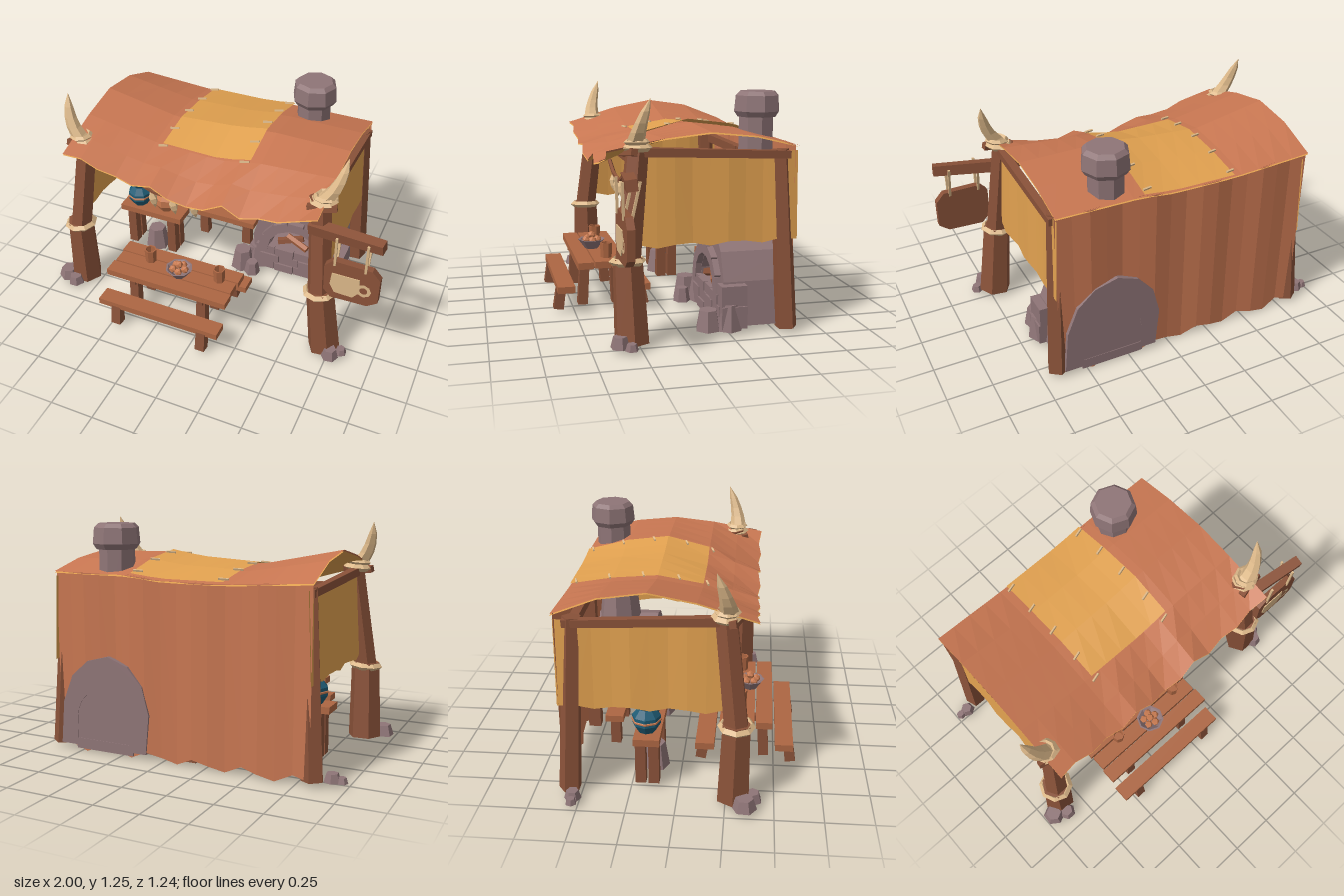
import * as THREE from 'three';

const mat = (name, color, side = THREE.FrontSide) => Object.assign(new THREE.MeshStandardMaterial({ color, side }), { name });
const V = (p) => new THREE.Vector3(...p);
const V2 = (pts) => pts.map((p) => new THREE.Vector2(...p));

export function createModel() {
  const root = new THREE.Group();
  root.name = 'marketTavern';
  const cloth = mat('terracotta cloth', 0xc77651, THREE.DoubleSide);
  const yellow = mat('ochre cloth', 0xe0a04f, THREE.DoubleSide);
  const wood = mat('dark wood', 0x8a5239);
  const plank = mat('plank wood', 0xad6642);
  const stone = mat('stone', 0x8f7577);
  const cream = mat('bone and rope', 0xdcb889);
  const blue = mat('blue glaze', 0x1f5c75);
  const clay = mat('clay', 0xc87a50);

  // Faceted mesh at a position
  function add(name, geo, material, p = [0, 0, 0], parent = root) {
    const g = geo.index ? geo.toNonIndexed() : geo;
    g.computeVertexNormals();
    const m = new THREE.Mesh(g, material);
    m.name = name;
    m.position.set(...p);
    parent.add(m);
    return m;
  }
  const box = (name, s, p, m) => add(name, new THREE.BoxGeometry(...s), m, p);

  // Tapered bar between two points
  function strut(name, a, b, r0, r1, m, sides = 4) {
    const A = V(a), B = V(b), d = B.clone().sub(A);
    const g = new THREE.CylinderGeometry(r1, r0, d.length(), sides);
    g.rotateY(Math.PI / sides);
    const mesh = add(name, g, m, A.clone().add(B).multiplyScalar(0.5).toArray());
    mesh.quaternion.setFromUnitVectors(new THREE.Vector3(0, 1, 0), d.normalize());
    return mesh;
  }

  // Cloth sheet from column and row values and a position rule
  function sheet(name, us, vs, f, m) {
    const g = new THREE.PlaneGeometry(1, 1, us.length - 1, vs.length - 1);
    const pos = g.attributes.position;
    vs.forEach((v, j) => us.forEach((u, i) => pos.setXYZ(j * us.length + i, ...f(u, v, i, j))));
    return add(name, g, m);
  }
  const range = (a, b, n) => Array.from({ length: n + 1 }, (_, i) => a + (b - a) * i / n);
  const interp = (xs, ys, x) => {
    let i = 0;
    while (i < xs.length - 2 && x > xs[i + 1]) i++;
    return ys[i] + (ys[i + 1] - ys[i]) * (x - xs[i]) / (xs[i + 1] - xs[i]);
  };

  // Roof surface: sagging across, arched front to back, ragged flap in front
  const cols = range(-0.83, 0.65, 14);
  const zRows = [-0.61, -0.38, -0.14, 0.1, 0.4];
  const kx = [-0.83, -0.36, 0, 0.17, 0.65];
  const heights = [
    [1.01, 0.98, 0.98, 1.0, 1.0], [1.1, 1.02, 1.03, 1.06, 1.055],
    [1.135, 1.04, 1.06, 1.09, 1.08], [1.09, 1.0, 0.99, 1.03, 1.055]];
  const hem = [1.0, 0.99, 0.96, 0.93, 0.91, 0.92, 0.88, 0.85, 0.87, 0.92, 0.88, 0.9, 0.92, 0.95, 1.0];
  const roofY = (x, z) => interp(zRows, [...heights.map((h) => interp(kx, h, x)), interp(cols, hem, x)], z);
  const roofPoint = (lift) => (x, z, i, j) => [x, roofY(x, z) + lift, z - (j === 5 ? 0.015 * (i % 2) : 0)];
  const roofZ = [-0.61, -0.38, -0.14, 0.1, 0.25, 0.4];
  sheet('roofCloth', cols, roofZ, roofPoint(0), cloth);
  sheet('roofLining', cols, roofZ, roofPoint(-0.008), yellow);
  sheet('roofPatch', range(-0.36, 0.17, 5), roofZ.slice(0, 4), roofPoint(0.013), yellow);
  for (const x of [-0.35, 0.14]) for (const z of [-0.58, -0.4, -0.22, -0.03, 0.12]) {
    const y = roofY(x, z) + 0.018;
    strut('patchStitch', [x - 0.025, y, z + 0.008], [x + 0.025, y + 0.003, z - 0.006], 0.007, 0.007, cream);
  }

  // Back and side curtains with ripples and ragged hems
  sheet('backCurtain', range(-0.825, 0.65, 16), [1, 0], (x, v, i) =>
    [x, v ? roofY(x, -0.6) : 0.03 + 0.025 * Math.sin(i * 2.1), -0.597 + 0.01 * Math.sin(i * 1.7)], cloth);
  for (const [x, s] of [[0.64, 1], [-0.805, -1]]) {
    sheet('sideCurtain', range(-0.605, 0.24, 9), [1, 0], (z, v, i) =>
      [x + s * ((1 - v) * 0.02 + 0.006 * Math.sin(i * 1.9)), v ? 0.975 : 0.51 + 0.012 * Math.sin(i * 2.2), z], yellow);
  }

  // Posts, beams, horns and rope bindings
  const ring = (name, p, r, t) => {
    const m = add(name, new THREE.TorusGeometry(r, t, 4, 8), cream, p);
    m.rotation.set(Math.PI / 2, 0.08, 0);
  };
  for (const [base, mid, top, s] of [[-0.85, -0.84, -0.77, -1], [0.715, 0.665, 0.61, 1]]) {
    strut('frontPostLower', [base, 0.03, 0.29], [mid, 0.46, 0.3], 0.093, 0.08, wood, 6);
    strut('frontPostUpper', [mid, 0.42, 0.3], [top, 1.02, 0.235], 0.068, 0.06, wood, 6);
    ring('postRope', [mid, 0.445, 0.3], 0.077, 0.02);
    ring('hornRope', [top + s * 0.02, 1.01, 0.24], 0.058, 0.02);
    ring('hornRopeUpper', [top + s * 0.03, 1.04, 0.245], 0.051, 0.015);
    // Curved horn tapering to a tip
    const curve = new THREE.QuadraticBezierCurve3(
      V([top + s * 0.015, 1.02, 0.25]), V([top + s * 0.1, 1.09, 0.26]), V([top + s * 0.12, 1.262, 0.195]));
    const g = new THREE.CylinderGeometry(1, 1, 1, 6, 5);
    const pos = g.attributes.position;
    for (let i = 0; i < pos.count; i++) {
      const t = pos.getY(i) + 0.5, c = curve.getPoint(t), r = 0.05 * Math.pow(1 - t, 0.5) + 0.001;
      pos.setXYZ(i, c.x + pos.getX(i) * r, c.y, c.z + pos.getZ(i) * r);
    }
    add('horn', g, cream);
    // Back posts lean inwards and straddle the curtains
    strut('backPost', [s > 0 ? 0.655 : -0.83, 0.03, -0.56], [s > 0 ? 0.615 : -0.775, 0.98, -0.515], 0.06, 0.05, wood, 5);
    strut('sideBeam', [s > 0 ? 0.635 : -0.795, 0.99, 0.24], [s > 0 ? 0.645 : -0.8, 0.955, -0.56], 0.032, 0.028, wood);
    strut('beamStub', [top - s * 0.05, 0.98, 0.3], [top + s * 0.1, 1.0, 0.27], 0.028, 0.025, wood);
  }
  strut('backBeam', [-0.78, 0.88, -0.55], [0.62, 0.87, -0.55], 0.035, 0.035, wood);
  strut('frontBeam', [-0.76, 0.9, 0.2], [0.6, 0.9, 0.2], 0.03, 0.03, wood);
  strut('centreBackPost', [-0.16, 0.03, -0.55], [-0.16, 0.9, -0.55], 0.05, 0.045, wood);

  // Fireplace body with arched mouth
  const body = new THREE.Shape(V2([[0.09, 0.04], [0.07, 0.26], [0.11, 0.41], [0.2, 0.51], [0.32, 0.555],
    [0.45, 0.52], [0.55, 0.43], [0.61, 0.28], [0.63, 0.04]].reverse()));
  const mouth = new THREE.Path();
  mouth.moveTo(0.18, 0.08);
  mouth.lineTo(0.18, 0.2);
  mouth.absarc(0.35, 0.2, 0.17, Math.PI, 0, true);
  mouth.lineTo(0.52, 0.08);
  body.holes.push(mouth);
  add('fireplaceBody', new THREE.ExtrudeGeometry(body, { depth: 0.39, bevelEnabled: false, curveSegments: 5 }), stone, [0, 0, -0.614]);
  box('fireboxBack', [0.36, 0.36, 0.14], [0.35, 0.2, -0.541], stone);
  box('hearth', [0.4, 0.18, 0.3], [0.35, 0.12, -0.36], stone);
  for (let i = 0; i < 7; i++) {
    const a = Math.PI * (i + 0.5) / 7;
    box('archStone', [0.06, 0.095, 0.05], [0.35 + 0.2 * Math.cos(a), 0.2 + 0.2 * Math.sin(a), -0.215], stone).rotation.z = a;
  }
  for (let r = 0; r < 3; r++) for (let i = 0; i < 4; i++) {
    box('hearthBrick', [0.12, 0.055, 0.03], [0.16 + 0.125 * i + (r % 2) * 0.03, 0.065 + 0.06 * r, -0.21 + 0.006 * ((i + r) % 2)], stone);
  }
  for (const [x, y, w] of [[0.1, 0.1, 0.11], [0.61, 0.1, 0.12], [0.62, 0.21, 0.08]])
    box('sideStone', [w, 0.12, 0.14], [x, y, -0.27], stone);
  const hood = add('chimneyHood', new THREE.CylinderGeometry(0.115, 0.195, 0.46, 8), stone, [0.32, 0.7, -0.46]);
  hood.scale.z = 0.7;
  add('chimneyFlue', new THREE.CylinderGeometry(0.098, 0.1, 0.36, 8), stone, [0.325, 0.98, -0.485]);
  add('chimneyCap', new THREE.LatheGeometry(V2([[0, 1.125], [0.11, 1.125], [0.13, 1.155], [0.122, 1.24], [0.1, 1.262], [0, 1.262]]), 8),
    stone, [0.325, 0, -0.488]);
  strut('log', [0.23, 0.235, -0.24], [0.38, 0.27, -0.28], 0.024, 0.022, wood, 5);
  strut('log', [0.28, 0.27, -0.27], [0.42, 0.235, -0.23], 0.022, 0.022, plank, 5);

  // Scattered rocks: x, z, radius, height
  for (const [x, z, r, h] of [[-0.94, 0.35, 0.065, 0.06], [-0.87, 0.39, 0.05, 0.05], [0.77, 0.36, 0.05, 0.06], [0.82, 0.31, 0.035, 0.035],
    [-0.92, -0.53, 0.045, 0.045], [-0.97, -0.53, 0.03, 0.03], [-0.57, -0.14, 0.075, 0.14], [0.02, -0.17, 0.075, 0.13],
    [0.1, -0.25, 0.08, 0.14], [0.61, -0.14, 0.07, 0.11], [0.63, -0.25, 0.07, 0.14], [0.1, -0.13, 0.05, 0.08]]) {
    add('rock', new THREE.CylinderGeometry(r * 0.7, r, h, 6), stone, [x, 0.03 + h / 2, z]).rotation.y = x * 9;
  }

  // Tables and benches: plank rows on legs given as pairs of top and bottom z
  function bench(name, x0, x1, z0, z1, y, planks, legX, legZ) {
    const d = (z1 - z0) / planks;
    for (let i = 0; i < planks; i++)
      box(name + 'Plank', [x1 - x0 - 0.015 * (i % 2), 0.038, d - 0.008], [(x0 + x1) / 2, y - 0.019, z0 + d * (i + 0.5)], plank);
    for (const x of legX) {
      for (const [zTop, zBottom] of legZ) strut(name + 'Leg', [x, 0.03, zBottom], [x, y - 0.03, zTop], 0.04, 0.038, wood);
      if (planks > 1) box(name + 'Brace', [0.035, 0.035, z1 - z0 - 0.03], [x, y - 0.055, (z0 + z1) / 2], wood);
    }
  }
  bench('table', -0.57, 0.18, 0.2, 0.49, 0.312, 3, [-0.41, 0.02], [[0.43, 0.445], [0.26, 0.245]]);
  bench('frontBench', -0.57, 0.18, 0.5, 0.605, 0.18, 1, [-0.46, 0.08], [[0.575, 0.592]]);
  bench('rearBench', -0.57, 0.18, 0.07, 0.18, 0.172, 1, [-0.46, 0.08], [[0.12, 0.098]]);
  bench('sideTable', -0.8, -0.38, -0.235, -0.09, 0.315, 1, [-0.73, -0.45], [[-0.13, -0.13], [-0.2, -0.2]]);
  bench('wallBench', -0.4, 0.02, -0.45, -0.34, 0.22, 1, [-0.34, -0.04], [[-0.395, -0.395]]);

  // Vases, bowl, fruit and mugs
  const lathe = (name, pts, m, p, n = 8) => add(name, new THREE.LatheGeometry(V2(pts), n), m, p);
  const vase = [[0, 0], [0.045, 0], [0.075, 0.05], [0.075, 0.095], [0.042, 0.135], [0.056, 0.162], [0.045, 0.162], [0.03, 0.135], [0, 0.135]];
  lathe('blueVase', vase, blue, [-0.695, 0.313, -0.17]);
  lathe('vaseBand', [[0.073, 0], [0.079, 0.004], [0.079, 0.012], [0.073, 0.016]], clay, [-0.695, 0.375, -0.17]);
  lathe('clayVase', vase, clay, [-0.515, 0.313, -0.18]);
  lathe('bowl', [[0, 0], [0.04, 0], [0.08, 0.055], [0.07, 0.055], [0.035, 0.02], [0, 0.02]], stone, [-0.16, 0.312, 0.36]);
  for (let i = 0; i < 6; i++) {
    const a = i * 1.26, r = i < 5 ? 0.036 : 0;
    add('fruit', new THREE.IcosahedronGeometry(0.024, 0), clay, [-0.16 + r * Math.cos(a), i < 5 ? 0.365 : 0.39, 0.36 + r * Math.sin(a)]);
  }
  for (const [x, z] of [[-0.37, 0.31], [0.07, 0.31]])
    lathe('mug', [[0, 0], [0.032, 0], [0.036, 0.085], [0.028, 0.085], [0.026, 0.03], [0, 0.03]], plank, [x, 0.312, z], 7);

  // Hanging garland with claws
  const garland = [[-0.55, 0.78, 0.18], [-0.4, 0.72, 0.18], [-0.2, 0.7, 0.18], [0, 0.78, 0.18]];
  for (let i = 0; i < 3; i++) strut('garlandStick', garland[i], garland[i + 1], 0.014, 0.014, wood, 5);
  for (const [x, y] of [[-0.39, 0.605], [-0.26, 0.595], [-0.13, 0.61]]) {
    lathe('claw', [[0, 0], [0.02, 0.035], [0.026, 0.07], [0.012, 0.105], [0, 0.11]], cream, [x, y, 0.18], 5).rotation.z = 0.2;
    strut('clawCord', [x - 0.015, y + 0.09, 0.18], [x - 0.015, y + 0.12, 0.18], 0.007, 0.007, cream);
  }

  // Hanging sign with a painted tankard
  strut('signBeam', [0.58, 0.855, 0.28], [0.99, 0.885, 0.34], 0.045, 0.04, wood);
  for (const x of [0.75, 0.915]) {
    strut('signRope', [x, 0.71, 0.365], [x, 0.89, 0.37], 0.009, 0.009, cream);
    strut('signRopeBack', [x, 0.71, 0.325], [x, 0.89, 0.285], 0.009, 0.009, cream);
  }
  const board = new THREE.Shape(V2([[0.7, 0.53], [0.74, 0.485], [0.94, 0.49], [0.995, 0.53], [0.995, 0.68], [0.95, 0.73], [0.74, 0.735], [0.695, 0.69]]));
  add('signBoard', new THREE.ExtrudeGeometry(board, { depth: 0.04, bevelEnabled: false }), wood, [0, 0, 0.325]);
  const cup = new THREE.Shape(V2([[0.76, 0.53], [0.86, 0.525], [0.895, 0.57], [0.89, 0.655], [0.74, 0.655], [0.733, 0.58]]));
  add('tankardPaint', new THREE.ExtrudeGeometry(cup, { depth: 0.006, bevelEnabled: false }), cream, [0, 0, 0.364]);
  add('tankardHandlePaint', new THREE.RingGeometry(0.022, 0.042, 8), cream, [0.915, 0.59, 0.369]);
  return root;
}
